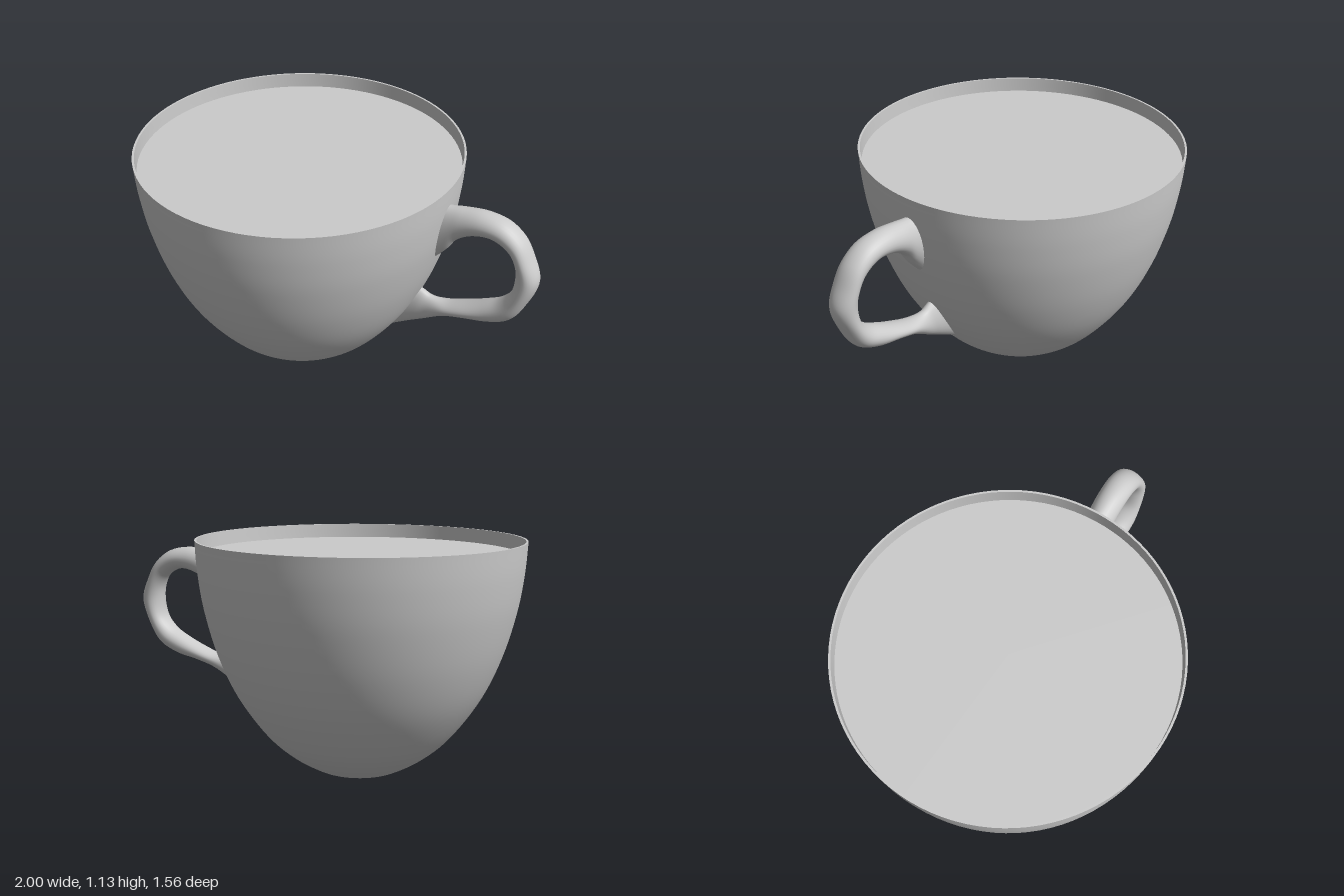
import * as THREE from 'three';

const CUP_X = -0.222;
const material = new THREE.MeshStandardMaterial({ color: 0xcccccc, side: THREE.DoubleSide });

function addMesh(parent, name, geometry) {
  const mesh = new THREE.Mesh(geometry, material);
  mesh.name = name;
  parent.add(mesh);
  return mesh;
}

// Smooth bowl outline, offset inwards for the inner wall
function bowlProfile(inset) {
  const outline = [
    [0.18, 0.005], [0.225, 0.02], [0.34, 0.09], [0.46, 0.2], [0.59, 0.385],
    [0.68, 0.585], [0.74, 0.8], [0.768, 0.98], [0.778, 1.13],
  ].map(([r, y]) => new THREE.Vector2(r - inset, y));
  return new THREE.SplineCurve(outline).getPoints(48);
}

// Handle lofted through oval sections: outer x, y, inner x, y, centre z, half width
function handleGeometry() {
  const sections = [
    [0.50, 1.03, 0.50, 0.74, 0, 0.07],
    [0.56, 1.033, 0.56, 0.81, 0, 0.066],
    [0.62, 1.04, 0.60, 0.87, -0.002, 0.066],
    [0.72, 1.047, 0.68, 0.92, -0.003, 0.067],
    [0.83, 1.025, 0.77, 0.934, -0.002, 0.068],
    [0.91, 0.965, 0.85, 0.895, 0, 0.068],
    [0.96, 0.88, 0.885, 0.84, 0.003, 0.069],
    [1.00, 0.77, 0.894, 0.77, 0.006, 0.069],
    [0.96, 0.64, 0.88, 0.68, 0.008, 0.07],
    [0.90, 0.54, 0.83, 0.62, 0.009, 0.07],
    [0.80, 0.488, 0.76, 0.58, 0.006, 0.066],
    [0.68, 0.463, 0.65, 0.53, 0.004, 0.062],
    [0.58, 0.432, 0.56, 0.502, 0.002, 0.054],
    [0.46, 0.36, 0.49, 0.505, 0, 0.043],
    [0.38, 0.315, 0.45, 0.525, 0, 0.045],
    [0.27, 0.25, 0.40, 0.55, 0, 0.05],
  ];
  const spline = (f) => new THREE.CatmullRomCurve3(sections.map(f));
  const outer = spline((s) => new THREE.Vector3(s[0], s[1], s[4]));
  const inner = spline((s) => new THREE.Vector3(s[2], s[3], s[4]));
  const width = spline((s, i) => new THREE.Vector3(i, 0, s[5]));
  const rings = 90, sides = 28, positions = [], indices = [];
  for (let i = 0; i <= rings; i++) {
    const t = i / rings;
    const a = outer.getPoint(t), b = inner.getPoint(t), w = width.getPoint(t).z;
    const mid = a.clone().add(b).multiplyScalar(0.5);
    const half = a.clone().sub(b).multiplyScalar(0.5);
    for (let j = 0; j < sides; j++) {
      const angle = (j / sides) * Math.PI * 2;
      const p = mid.clone().addScaledVector(half, Math.cos(angle));
      positions.push(p.x, p.y, p.z + w * Math.sin(angle));
      if (i < rings) {
        const k = i * sides + j, n = i * sides + ((j + 1) % sides);
        indices.push(k, n, k + sides, n, n + sides, k + sides);
      }
    }
  }
  const geometry = new THREE.BufferGeometry();
  geometry.setAttribute('position', new THREE.Float32BufferAttribute(positions, 3));
  geometry.setIndex(indices);
  geometry.computeVertexNormals();
  return geometry;
}

export function createModel() {
  const model = new THREE.Group();
  model.name = 'teacup';

  // Thin-walled bowl with a narrow flat rim and a flat foot
  const bowl = new THREE.Group();
  bowl.name = 'bowl';
  bowl.position.x = CUP_X;
  model.add(bowl);
  addMesh(bowl, 'outerWall', new THREE.LatheGeometry(bowlProfile(0), 96));
  addMesh(bowl, 'innerWall', new THREE.LatheGeometry(bowlProfile(0.01).reverse(), 96));
  const rim = addMesh(bowl, 'rim', new THREE.RingGeometry(0.768, 0.778, 96));
  rim.rotation.x = -Math.PI / 2;
  rim.position.y = 1.13;
  const foot = [[0, 0], [0.17, 0], [0.18, 0.005]].map(([r, y]) => new THREE.Vector2(r, y));
  addMesh(bowl, 'foot', new THREE.LatheGeometry(foot, 96));

  // Drink surface just below the rim
  const drink = addMesh(bowl, 'drink', new THREE.CircleGeometry(0.764, 96));
  drink.rotation.x = -Math.PI / 2;
  drink.position.y = 1.06;

  addMesh(model, 'handle', handleGeometry());
  return model;
}
